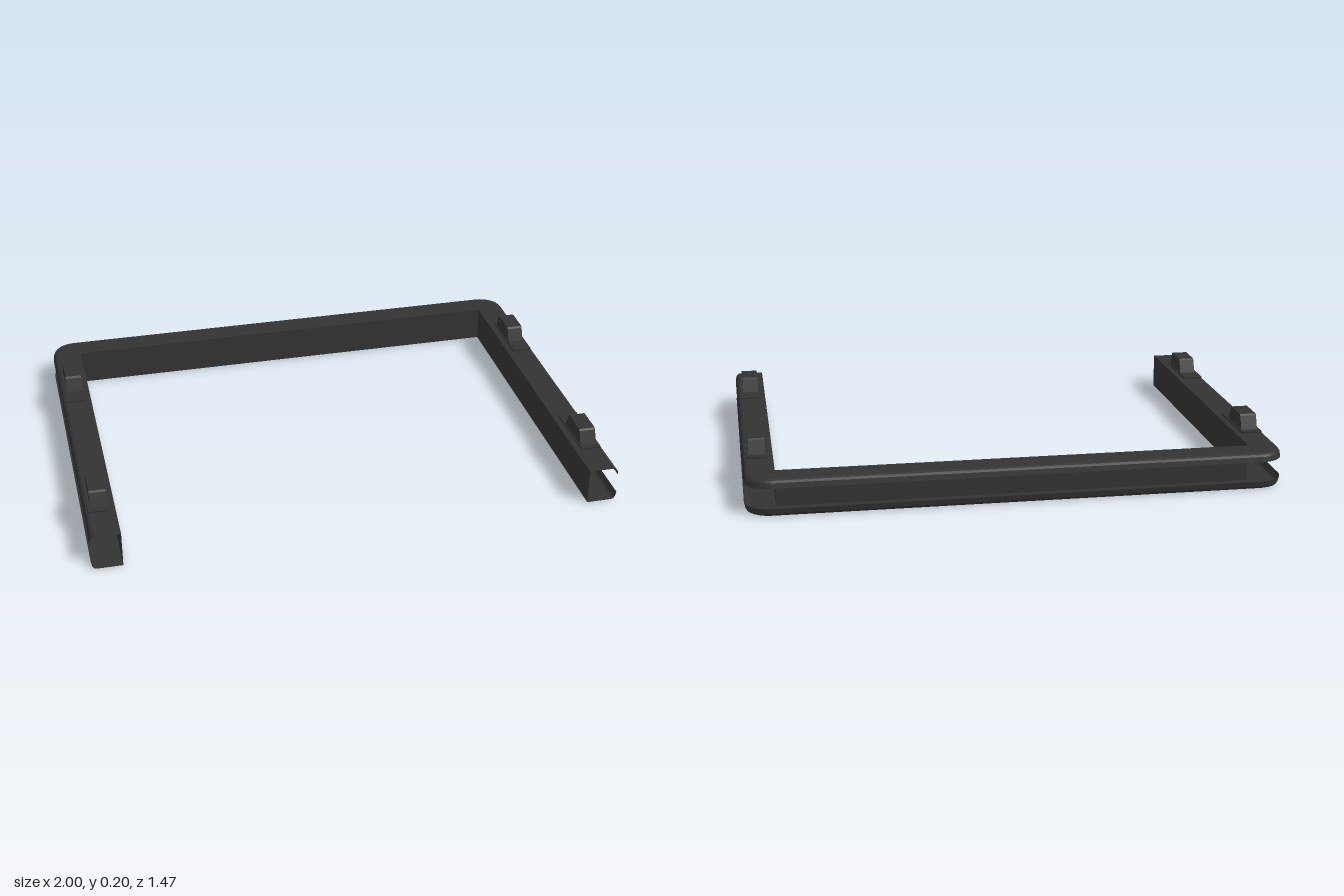
import * as THREE from 'three';

const HALF_X = 1, HALF_Z = 0.735, HEIGHT = 0.138;
const material = new THREE.MeshStandardMaterial({ color: 0x333333, flatShading: true, side: THREE.DoubleSide });

// U-shaped path, inset by d from the outer edge, with rounded back corners
function railPath(d) {
  const r = Math.max(0.095 - d, 0), steps = 8;
  const cx = HALF_X - d - r, cz = -HALF_Z + d + r;
  const half = [[HALF_X - d, HALF_Z]];
  for (let i = 0; i <= steps; i++) {
    const a = (i / steps) * Math.PI / 2;
    half.push([cx + r * Math.cos(a), cz - r * Math.sin(a)]);
  }
  return [...half, ...half.map(([x, z]) => [-x, z]).reverse()];
}

// Sheet channel, open to the outside, with short curled lips on both flanges
function createChannel() {
  const lower = [[0, 0.031], [0.004, 0.012], [0.009, 0.004], [0.018, 0], [0.115, 0]];
  const profile = [...lower, ...lower.map(([d, y]) => [d, HEIGHT - y]).reverse()];
  const rows = profile.map(([d, y]) => railPath(d).map(([x, z]) => [x, y, z]));
  const n = rows[0].length, index = [];
  for (let i = 0; i < rows.length - 1; i++) {
    for (let j = 0; j < n - 1; j++) {
      const a = i * n + j, b = a + n;
      index.push(a, b, a + 1, a + 1, b, b + 1);
    }
  }
  const geometry = new THREE.BufferGeometry();
  geometry.setAttribute('position', new THREE.Float32BufferAttribute(rows.flat(2), 3));
  geometry.setIndex(index);
  geometry.computeVertexNormals();
  const mesh = new THREE.Mesh(geometry, material);
  mesh.name = 'channelRail';
  return mesh;
}

// Side outline given as [z, y] points, extruded across x
function sideExtrusion(name, points, x0, x1) {
  const shape = new THREE.Shape(points.map(([z, y]) => new THREE.Vector2(-z, y)));
  const geometry = new THREE.ExtrudeGeometry(shape, { depth: x1 - x0, bevelEnabled: false });
  geometry.rotateY(Math.PI / 2).translate(x0, 0, 0);
  const mesh = new THREE.Mesh(geometry, material);
  mesh.name = name;
  return mesh;
}

// Tapered clip standing on a thin plate
function createClip(side, zc, plateFront, plateBack) {
  const group = new THREE.Group();
  group.name = 'clip';
  const x0 = side > 0 ? 0.912 : -0.975, x1 = x0 + 0.063;
  group.add(sideExtrusion('clipBlock', [
    [zc + 0.082, 0.14], [zc + 0.06, 0.196], [zc + 0.054, 0.202],
    [zc - 0.054, 0.202], [zc - 0.06, 0.196], [zc - 0.082, 0.14],
  ], x0, x1));
  const p0 = side > 0 ? 0.908 : -0.985;
  group.add(sideExtrusion('clipPlate', [
    [plateFront, 0.134], [plateFront, 0.146], [plateBack, 0.146], [plateBack, 0.134],
  ], p0, p0 + 0.077));
  return group;
}

export function createModel() {
  const model = new THREE.Group();
  model.name = 'channelFrame';
  model.add(createChannel());
  for (const side of [1, -1]) {
    model.add(createClip(side, 0.48, 0.585, 0.322));
    model.add(createClip(side, -0.373, -0.215, -0.478));
  }
  return model;
}
